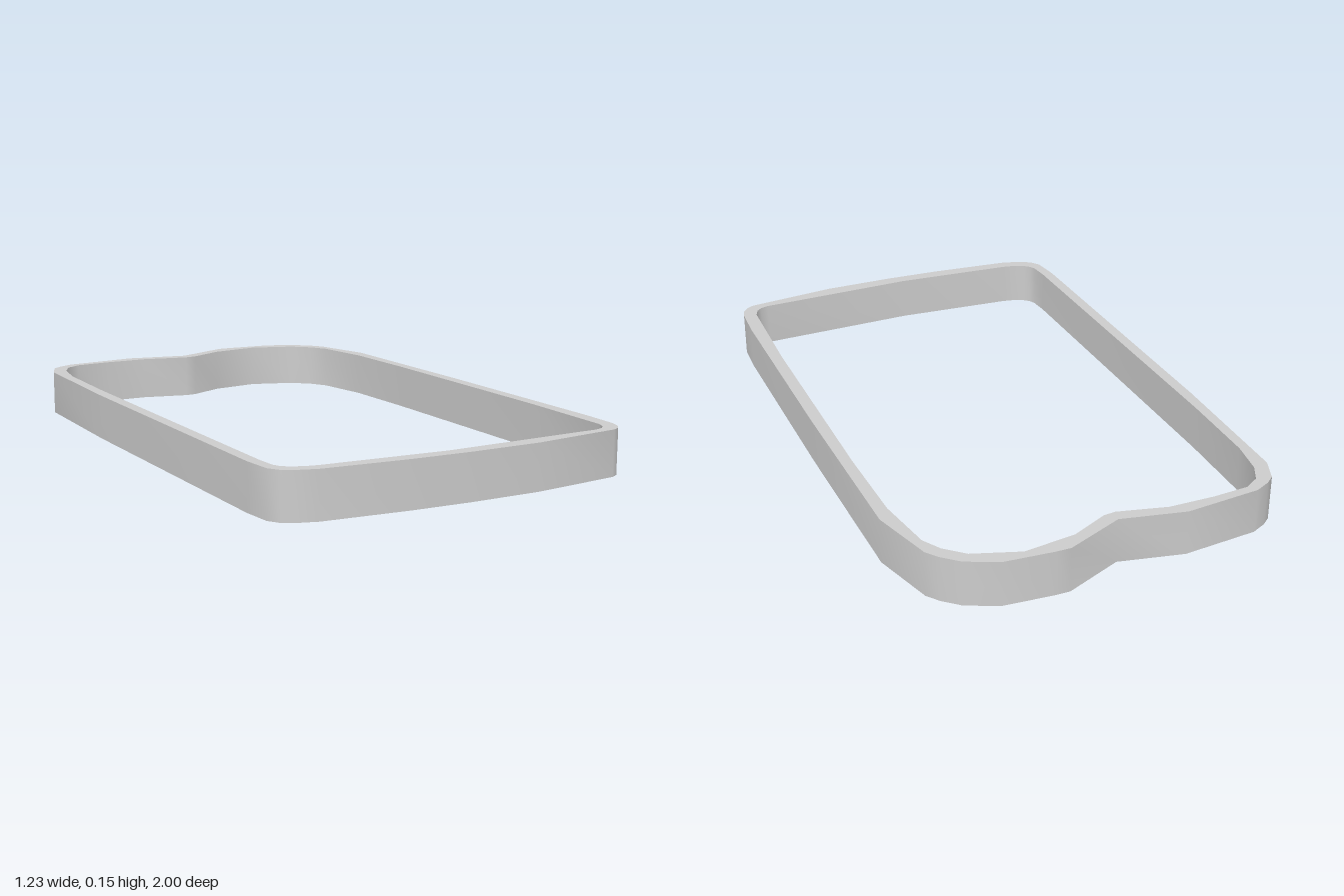
import * as THREE from 'three';
import { toCreasedNormals } from 'three/addons/utils/BufferGeometryUtils.js';

const HEIGHT = 0.148;

// Outer and inner outlines of the wall, as [x, z] seen from above
const OUTER = [
  [-0.602, -0.8], [-0.57, -0.88], [-0.54, -0.905], [-0.49, -0.93], [-0.24, -0.957],
  [-0.03, -0.915], [0.16, -1], [0.21, -1], [0.37, -0.99], [0.47, -0.945],
  [0.52, -0.9], [0.55, -0.86], [0.609, -0.65], [0.615, 0], [0.612, 0.75],
  [0.605, 0.88], [0.595, 0.915], [0.577, 0.94], [0.55, 0.955], [0.24, 0.995],
  [0, 1], [-0.2, 0.995], [-0.48, 0.975], [-0.54, 0.957], [-0.58, 0.935],
  [-0.603, 0.9], [-0.613, 0.8], [-0.615, -0.3],
];
const INNER = [
  [-0.57, -0.69], [-0.55, -0.81], [-0.52, -0.87], [-0.47, -0.902], [-0.35, -0.912],
  [-0.2, -0.912], [-0.04, -0.875], [0, -0.88], [0.12, -0.94], [0.29, -0.965],
  [0.44, -0.915], [0.5, -0.86], [0.535, -0.8], [0.568, -0.6], [0.575, -0.3],
  [0.572, 0.5], [0.56, 0.87], [0.548, 0.902], [0.53, 0.92], [0.5, 0.93],
  [-0.05, 0.955], [-0.46, 0.935], [-0.5, 0.928], [-0.54, 0.912], [-0.56, 0.893],
  [-0.57, 0.87], [-0.575, 0.8], [-0.577, -0.4],
];

const toPoints = (outline) => outline.map(([x, z]) => new THREE.Vector2(x, -z));

export function createModel() {
  const group = new THREE.Group();
  group.name = 'outlineFrame';

  // Thin closed wall, laid flat; the hole runs opposite to the outline so its faces point inwards
  const shape = new THREE.Shape(toPoints(OUTER));
  shape.holes.push(new THREE.Path(toPoints(INNER).reverse()));
  const extruded = new THREE.ExtrudeGeometry(shape, { depth: HEIGHT, bevelEnabled: false });
  extruded.rotateX(-Math.PI / 2);

  // Smooth around the wall, sharp along the rims
  const wall = new THREE.Mesh(
    toCreasedNormals(extruded, Math.PI / 3),
    new THREE.MeshStandardMaterial({ color: 0xcccccc }),
  );
  wall.name = 'wall';
  group.add(wall);
  return group;
}
